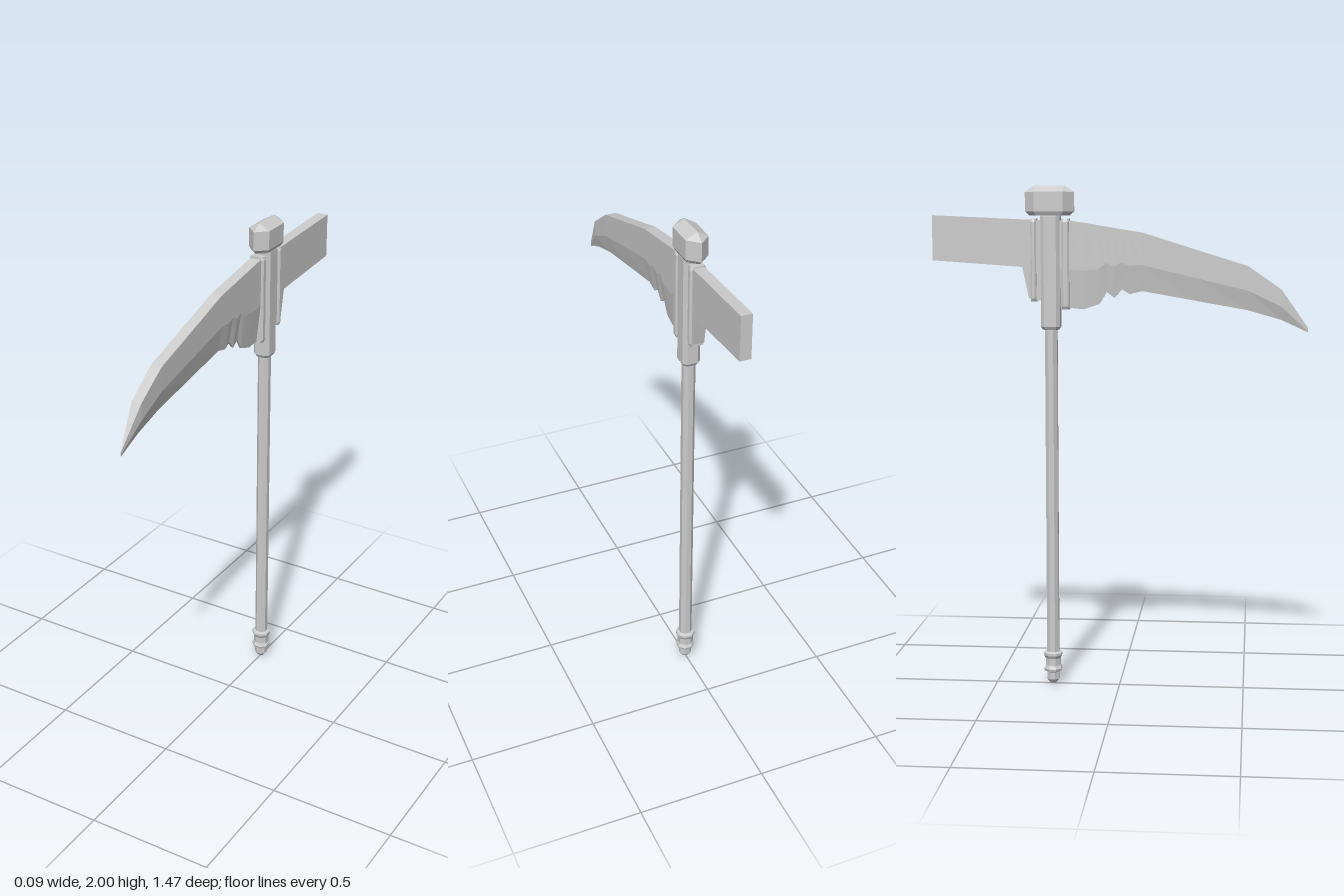
import * as THREE from 'three';

const material = new THREE.MeshStandardMaterial({ color: 0xcccccc, flatShading: true });
const AXIS = -0.27; // z of the handle

// Skins a row of equal-length closed rings of [x, y, z] and caps both ends
function loft(rings) {
  const n = rings[0].length, index = [];
  rings.slice(1).forEach((_, i) => {
    for (let j = 0; j < n; j++) {
      const k = (j + 1) % n, a = i * n, b = a + n;
      index.push(a + j, a + k, b + k, a + j, b + k, b + j);
    }
  });
  const end = (rings.length - 1) * n;
  for (let j = 1; j < n - 1; j++) {
    index.push(0, j + 1, j, end, end + j, end + j + 1);
  }
  const geometry = new THREE.BufferGeometry();
  geometry.setAttribute('position', new THREE.Float32BufferAttribute(rings.flat(2), 3));
  geometry.setIndex(index);
  const flat = geometry.toNonIndexed();
  flat.computeVertexNormals();
  return flat;
}

// Chamfered rectangle around the handle axis, in the horizontal plane
function octagon(y, hx, hz, c, z = AXIS) {
  return [[hx - c, hz], [hx, hz - c], [hx, c - hz], [hx - c, -hz],
    [c - hx, -hz], [-hx, c - hz], [-hx, hz - c], [c - hx, hz]].map(([x, dz]) => [x, y, z + dz]);
}

// Pointed hexagon used by the cap
function hexagon(y, hx, point, shoulder) {
  return [[0, point], [hx, shoulder], [hx, -shoulder], [0, -point],
    [-hx, -shoulder], [-hx, shoulder]].map(([x, dz]) => [x, y, AXIS - 0.004 + dz]);
}

export function createModel() {
  const group = new THREE.Group();
  const add = (name, geometry) => {
    const mesh = new THREE.Mesh(geometry, material);
    mesh.name = name;
    group.add(mesh);
    return mesh;
  };
  const turned = (name, profile) => {
    const geometry = new THREE.LatheGeometry(profile.map(([r, y]) => new THREE.Vector2(r, y)), 8);
    geometry.rotateY(Math.PI / 8);
    add(name, geometry).position.z = AXIS;
  };

  // Eight-sided handle and its turned pommel
  turned('handle', [[0, 0.05], [0.026, 0.05], [0.026, 1.47], [0, 1.47]]);
  turned('pommel', [[0, 0], [0.014, 0.005], [0.026, 0.02], [0.026, 0.05], [0.036, 0.055],
    [0.039, 0.065], [0.032, 0.078], [0.032, 0.108], [0.039, 0.12], [0.039, 0.13], [0.026, 0.135]]);

  // Socket holding the head, bevelled at the bottom
  add('socket', loft([
    octagon(1.44, 0.028, 0.031, 0.012), octagon(1.452, 0.035, 0.038, 0.014),
    octagon(1.88, 0.035, 0.038, 0.014), octagon(1.905, 0.03, 0.034, 0.012),
  ]));

  // Ridged cap
  add('cap', loft([
    hexagon(1.885, 0.036, 0.08, 0.05), hexagon(1.9, 0.044, 0.097, 0.056),
    hexagon(1.975, 0.044, 0.097, 0.056), hexagon(2.0, 0, 0.058, 0.056),
  ]));

  // Bands clamping the blade in front and the beak behind
  for (const [name, z, hz, low] of [['frontBand', -0.21, 0.014, 1.52], ['backBand', -0.336, 0.011, 1.55]]) {
    add(name, loft([
      octagon(low, 0.025, hz, 0.006, z), octagon(low + 0.012, 0.031, hz, 0.006, z),
      octagon(1.86, 0.031, hz, 0.006, z), octagon(1.872, 0.025, hz, 0.006, z),
    ]));
  }

  // Curved blade: stations of [z, top, bottom, half thickness], with a chipped lower edge
  const stations = [
    [-0.27, 1.866, 1.53, 0.022], [-0.19, 1.864, 1.525, 0.022], [-0.14, 1.856, 1.52, 0.022],
    [-0.08, 1.846, 1.54, 0.022], [-0.05, 1.841, 1.588, 0.022], [-0.02, 1.836, 1.565, 0.022],
    [0.01, 1.831, 1.598, 0.022], [0.04, 1.826, 1.58, 0.022], [0.09, 1.818, 1.592, 0.022],
    [0.3, 1.752, 1.555, 0.022], [0.5, 1.69, 1.52, 0.022], [0.63, 1.6, 1.483, 0.02],
    [0.735, 1.452, 1.435, 0.001],
  ];
  add('blade', loft(stations.map(([z, top, bottom, w]) => {
    const mid = bottom + (top - bottom) * 0.45, edge = w * 0.2;
    return [[-edge, bottom, z], [edge, bottom, z], [w, mid, z], [w, top, z], [-w, top, z], [-w, mid, z]];
  })));

  // Flat beak with a sloping brace under it
  const outline = [[-0.27, 1.864], [-0.735, 1.885], [-0.735, 1.71], [-0.38, 1.685],
    [-0.355, 1.565], [-0.34, 1.555], [-0.27, 1.555]];
  const shape = new THREE.Shape(outline.map(([z, y]) => new THREE.Vector2(z, y)));
  const beak = new THREE.ExtrudeGeometry(shape, { depth: 0.044, bevelEnabled: false });
  beak.translate(0, 0, -0.022);
  beak.rotateY(-Math.PI / 2);
  add('beak', beak);

  return group;
}
